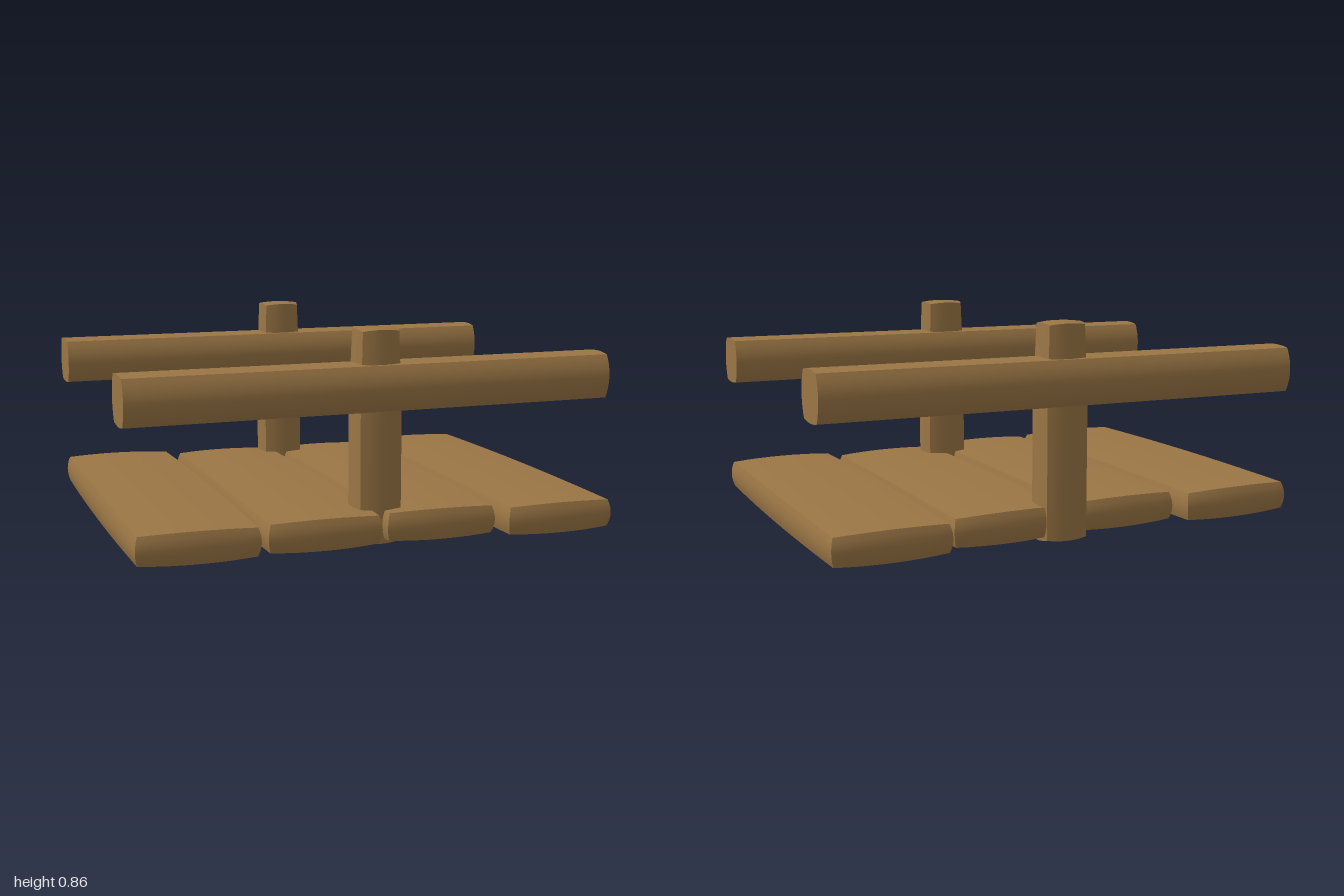
import * as THREE from 'three';

const wood = new THREE.MeshStandardMaterial({ color: 0x9b7645 });

// Pillowed box: each face recedes toward its edges.
// bulge = { xy, xz, yx, yz, zx, zy }: "xy" is how far the x faces recede along y, and so on.
// taper(v) scales the x/z cross-section by height, v from -1 to 1.
function softBox(name, [w, h, d], segments, bulge, taper = () => 1) {
  const { xy = 0, xz = 0, yx = 0, yz = 0, zx = 0, zy = 0 } = bulge;
  const geometry = new THREE.BoxGeometry(w, h, d, ...segments);
  const p = geometry.attributes.position;
  for (let i = 0; i < p.count; i++) {
    const u = p.getX(i) / (w / 2), v = p.getY(i) / (h / 2), t = p.getZ(i) / (d / 2);
    const s = taper(v);
    p.setXYZ(i,
      u * (w / 2 - xy * v * v - xz * t * t) * s,
      v * (h / 2 - yx * u * u - yz * t * t),
      t * (d / 2 - zx * u * u - zy * v * v) * s);
  }
  geometry.computeVertexNormals(); // box faces are not welded, so edges stay crisp
  const mesh = new THREE.Mesh(geometry, wood);
  mesh.name = name;
  return mesh;
}

export function createModel() {
  const model = new THREE.Group();
  model.name = 'woodenFootbridge';

  // Deck planks: [x min, x max, y centre, back z, front z, roll]
  const planks = [
    [-0.995, -0.51, 0.097, -0.76, 0.752, -0.016],
    [-0.488, -0.018, 0.091, -0.70, 0.73, -0.01],
    [0.005, 0.48, 0.082, -0.71, 0.70, -0.016],
    [0.498, 0.975, 0.078, -0.77, 0.765, -0.01],
  ];
  planks.forEach(([x0, x1, y, z0, z1, roll], i) => {
    const plank = softBox('plank' + (i + 1), [x1 - x0, 0.136, z1 - z0], [8, 6, 10],
      { xy: 0.01, xz: 0.006, yx: 0.007, yz: 0.006, zx: 0.01, zy: 0.012 });
    plank.position.set((x0 + x1) / 2, y, (z0 + z1) / 2);
    plank.rotation.z = roll;
    model.add(plank);
  });

  // One railing on each side: a post through a thick crosswise rail
  for (const [side, z] of [['front', 0.557], ['back', -0.643]]) {
    const railing = new THREE.Group();
    railing.name = side + 'Railing';
    railing.position.z = z;

    const post = softBox('post', [0.195, 0.855, 0.152], [8, 16, 8],
      { xz: 0.012, yx: 0.006, yz: 0.008, zx: 0.012 },
      (v) => 1 - 0.16 * Math.max(0, v - 0.25));
    post.position.set(0.008, 0.4275, 0);

    const rail = softBox('rail', [2, 0.195, 0.205], [1, 10, 10], { yz: 0.008, zy: 0.025 });
    rail.position.y = 0.622;

    railing.add(post, rail);
    model.add(railing);
  }
  return model;
}
